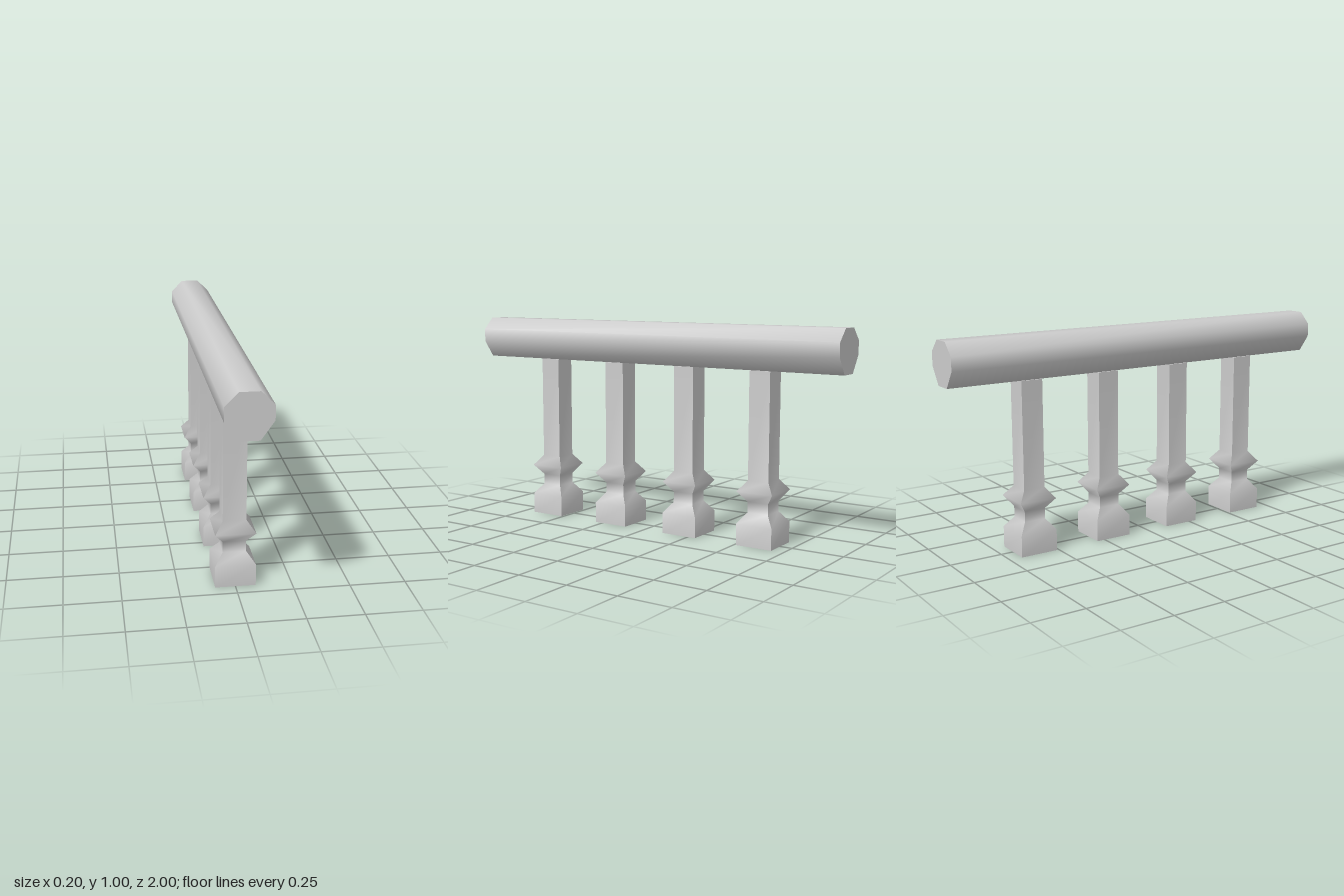
import * as THREE from 'three';
import { mergeGeometries, toCreasedNormals } from 'three/addons/utils/BufferGeometryUtils.js';

// Baluster profile, top to bottom: [half width, height]
const PROFILE = [
  [0.052, 0.8], [0.052, 0.3], [0.09, 0.25], [0.052, 0.2],
  [0.052, 0.15], [0.09, 0.1], [0.09, 0],
];

// One side of a square turned post, smooth along its height
function balusterSide(turn) {
  const side = new THREE.PlaneGeometry(2, 1, 1, PROFILE.length - 1);
  const pos = side.attributes.position;
  for (let i = 0; i < pos.count; i++) {
    const [half, y] = PROFILE[Math.floor(i / 2)];
    pos.setXYZ(i, Math.sign(pos.getX(i)) * half, y, half);
  }
  side.computeVertexNormals();
  return side.rotateY(turn * Math.PI / 2);
}

function balusterGeometry() {
  const [topHalf, topY] = PROFILE[0];
  const [footHalf, footY] = PROFILE[PROFILE.length - 1];
  const top = new THREE.PlaneGeometry(topHalf * 2, topHalf * 2).rotateX(-Math.PI / 2).translate(0, topY, 0);
  const foot = new THREE.PlaneGeometry(footHalf * 2, footHalf * 2).rotateX(Math.PI / 2).translate(0, footY, 0);
  return mergeGeometries([...[0, 1, 2, 3].map(balusterSide), top, foot]);
}

// Eight-sided handrail with softly shaded sides and flat ends
function railGeometry() {
  const right = [[0.043, 0.8], [0.1, 0.88], [0.1, 0.943], [0.043, 1]];
  const left = right.map(([x, y]) => [-x, y]).reverse();
  const shape = new THREE.Shape([...right, ...left].map(([x, y]) => new THREE.Vector2(x, y)));
  const rail = new THREE.ExtrudeGeometry(shape, { depth: 2, bevelEnabled: false });
  return toCreasedNormals(rail.translate(0, 0, -1), 1.15);
}

export function createModel() {
  const group = new THREE.Group();
  group.name = 'balustrade';
  const stone = new THREE.MeshStandardMaterial({ color: 0xcccccc });
  stone.name = 'grey stone';

  const rail = new THREE.Mesh(railGeometry(), stone);
  rail.name = 'handrail';
  group.add(rail);

  // Four evenly spaced balusters
  const geometry = balusterGeometry();
  [0.6, 0.2, -0.2, -0.6].forEach((z, i) => {
    const baluster = new THREE.Mesh(geometry, stone);
    baluster.name = `baluster${i + 1}`;
    baluster.position.z = z;
    group.add(baluster);
  });
  return group;
}
